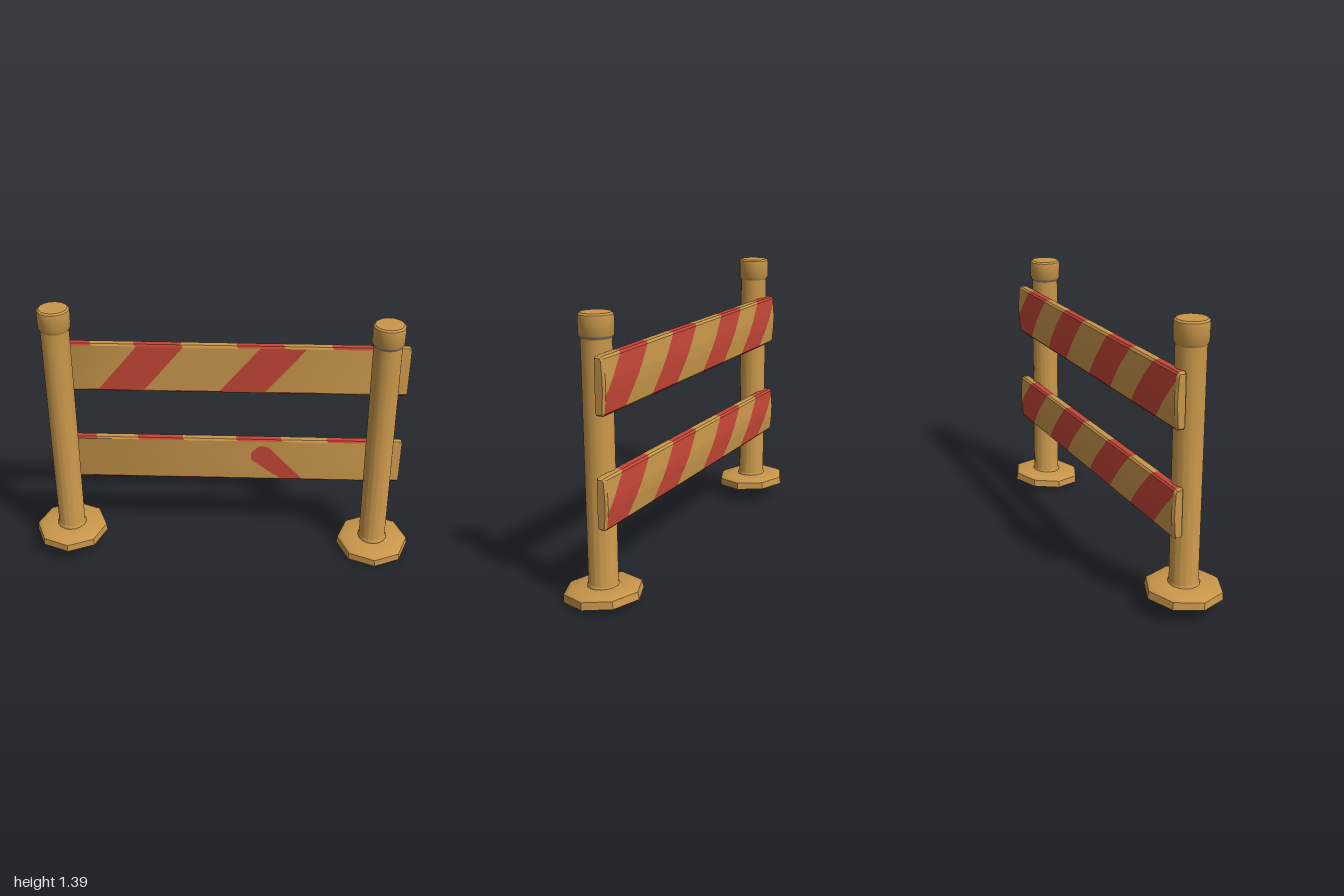
import * as THREE from 'three';
import { toCreasedNormals } from 'three/addons/utils/BufferGeometryUtils.js';

const tan = new THREE.MeshStandardMaterial({ color: 0xc8964a });
tan.name = 'ochre';
const red = new THREE.MeshStandardMaterial({ color: 0xc44636 });
red.name = 'stripe red';
const grey = new THREE.MeshStandardMaterial({ color: 0x8c8288 });
grey.name = 'grey';

function part(name, geometry, material) {
  const mesh = new THREE.Mesh(toCreasedNormals(geometry, 0.6), material);
  mesh.name = name;
  return mesh;
}

const lathe = (points, sides) =>
  new THREE.LatheGeometry(points.map(([r, y]) => new THREE.Vector2(r, y)), sides);

// Post with a collared cap on a slightly tilted octagonal foot
function createPost(name, x, y, footTilt, lean, tilt, withRing) {
  const post = new THREE.Group();
  post.name = name;
  post.position.set(x, y, 0);

  const foot = part('foot', lathe([
    [0, 0.03], [0.042, 0.03], [0.042, 0], [0.19, 0], [0.185, 0.036],
    [0.168, 0.047], [0.078, 0.053], [0, 0.053],
  ], 8), tan);
  foot.rotation.x = footTilt;

  const upright = new THREE.Group();
  upright.name = 'upright';
  upright.rotation.set(tilt, 0, lean);
  upright.add(part('shaft', lathe([
    [0, 0.04], [0.076, 0.04], [0.076, 0.056], [0.07, 0.066], [0.071, 1.2], [0, 1.2],
  ], 16), tan));
  upright.add(part('cap', lathe([
    [0.07, 1.195], [0.08, 1.214], [0.081, 1.29], [0.079, 1.302], [0.07, 1.31], [0, 1.312],
  ], 16), tan));
  if (withRing) {
    const ring = part('capRing', new THREE.CylinderGeometry(0.0795, 0.0735, 0.011, 16, 1, true), grey);
    ring.position.y = 1.206;
    upright.add(ring);
  }
  post.add(foot, upright);
  return post;
}

// Board: a cross-section swept along x, cut into tan and red wherever stripes cross it
function createBoard(name, y, height, frontStripes, backStripes) {
  const x0 = -0.86, x1 = 0.917, bevel = 0.012, steps = 25, midZ = -0.072;
  const loop = [];
  for (let i = 0; i <= steps; i++) loop.push([-0.047, -0.46 + 0.92 * i / steps]);
  loop.push([-0.053, 0.5], [-0.085, 0.5]);
  for (let i = 0; i <= steps; i++) {
    const v = 0.46 - 0.92 * i / steps;
    loop.push([-0.094 - 0.008 * Math.min(1, (0.46 - Math.abs(v)) / 0.36), v]);
  }
  loop.push([-0.085, -0.5], [-0.053, -0.5]);

  const positions = [[], []];
  const point = (x, [z, v]) => [x, v * height, z];
  const quad = (colour, p, q, a0, b0, a1, b1) => {
    if (b0 - a0 < 1e-5 && b1 - a1 < 1e-5) return;
    const [A, B, C, D] = [point(a0, p), point(b0, p), point(b1, q), point(a1, q)];
    if (b0 - a0 > 1e-5) positions[colour].push(...A, ...B, ...C);
    else positions[colour].push(...B, ...C, ...D);
    if (b0 - a0 > 1e-5 && b1 - a1 > 1e-5) positions[colour].push(...A, ...C, ...D);
  };
  const cuts = (stripes, v) =>
    [x0, ...stripes(v).flat().map((x) => THREE.MathUtils.clamp(x, x0, x1)), x1];
  const inset = ([z, v]) => [midZ + (z - midZ) * 0.7, v * 0.94];

  loop.forEach((p, i) => {
    const q = loop[(i + 1) % loop.length];
    const stripes = i < steps ? frontStripes : backStripes;
    const a = cuts(stripes, p[1]), b = cuts(stripes, q[1]);
    for (let k = 0; k < a.length - 1; k++) quad(k % 2, p, q, a[k], a[k + 1], b[k], b[k + 1]);

    // Bevelled ends
    const pi = inset(p), qi = inset(q);
    const l = x0 - bevel, r = x1 + bevel;
    const L = [point(l, pi), point(x0, p), point(x0, q), point(l, qi)];
    const R = [point(x1, p), point(r, pi), point(r, qi), point(x1, q)];
    for (const [A, B, C, D] of [L, R]) positions[0].push(...A, ...B, ...C, ...A, ...C, ...D);
    positions[0].push(...point(r, [midZ, 0]), ...R[2], ...R[1]);
    positions[0].push(...point(l, [midZ, 0]), ...L[0], ...L[3]);
  });

  const board = new THREE.Group();
  board.name = name;
  ['plank', 'stripes'].forEach((label, i) => {
    const geometry = new THREE.BufferGeometry();
    geometry.setAttribute('position', new THREE.Float32BufferAttribute(positions[i], 3));
    board.add(part(label, geometry, [tan, red][i]));
  });
  board.position.y = y;
  board.rotation.z = -0.006;
  return board;
}

// Stripe rules: red x ranges at relative height v (-0.5 bottom, 0.5 top)
const backStripes = (v) => [-0.89, -0.44, 0.07, 0.54].map((x) => {
  const a = x + 0.215 * (0.5 - v);
  return [a, a + 0.235];
});
const upperFront = (v) => [-0.63, -0.02].map((x) => {
  const a = x + 0.215 * (v + 0.5);
  return [a, a + 0.23];
});
const lowerFront = (v) => {
  if (v > 0.345) return [[0.21, 0.21]];
  const left = v > 0.16 ? 0.15 + (v - 0.16) * 0.21 : Math.max(0.15, 0.315 - 0.33 * (v + 0.5));
  return [[left, 0.235 + (0.336 - v) * 0.231]];
};

export function createModel() {
  const model = new THREE.Group();
  model.name = 'barrier';
  model.add(
    createPost('rightPost', -0.81, 0.078, 0.06, -0.002, 0.004, false),
    createPost('leftPost', 0.81, 0.018, 0.09, 0.008, 0.013, true),
    createBoard('upperBoard', 1.038, 0.262, upperFront, backStripes),
    createBoard('lowerBoard', 0.51, 0.243, lowerFront, backStripes),
  );
  return model;
}
